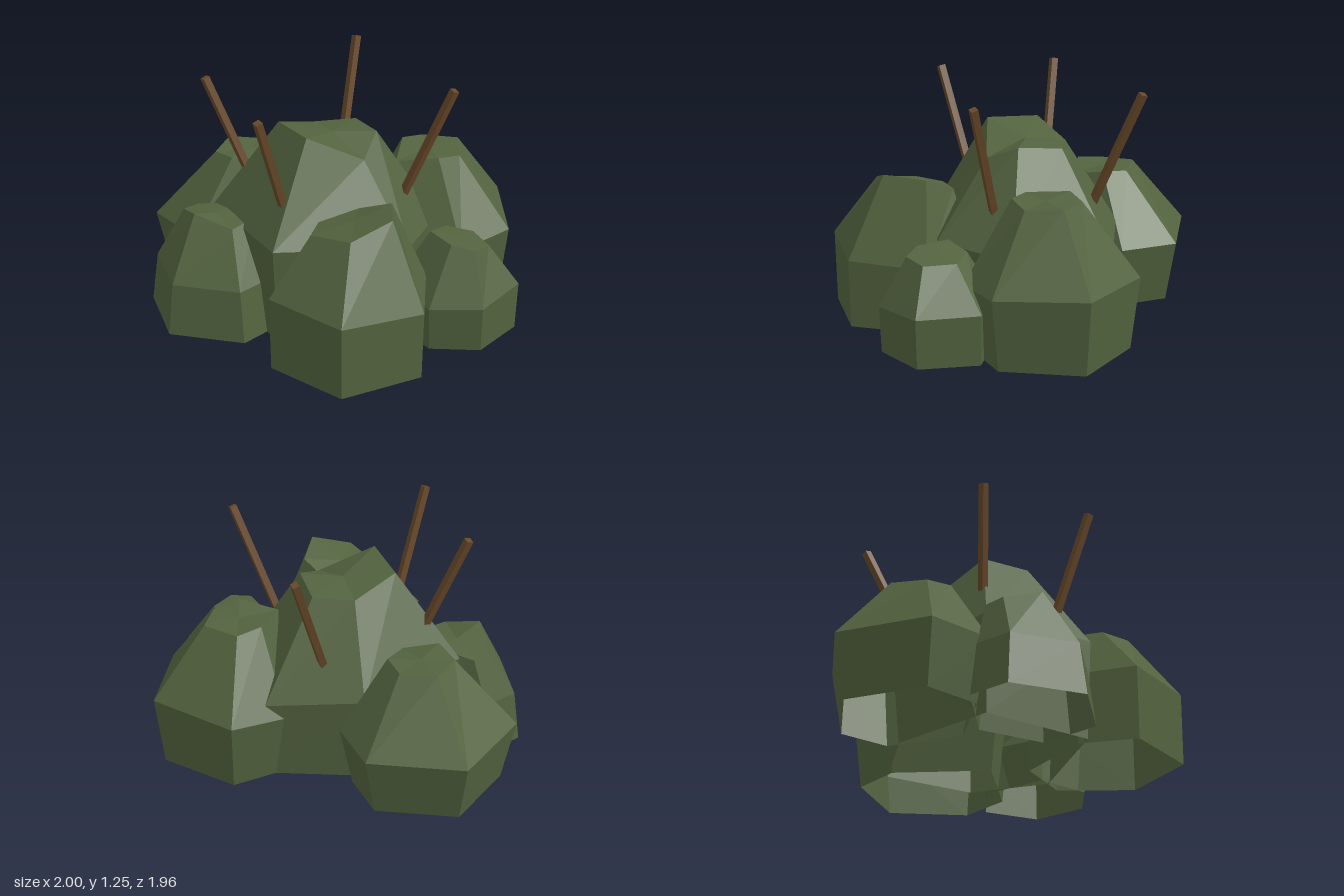
import * as THREE from 'three';

const foliage = new THREE.MeshStandardMaterial({ color: 0x53633f, flatShading: true, side: THREE.DoubleSide });
foliage.name = 'foliage green';
const bark = new THREE.MeshStandardMaterial({ color: 0x684829, flatShading: true });
bark.name = 'bark brown';

// Faceted clump: open foot, widest ring, then a smaller uneven cap.
// outline: [x, z] corners of the widest ring, counter-clockwise from above
// waist: its height and rise along z; foot: scale of the ground ring
// crown: centre [x, y, z] of the cap; shrink: its scale in x and z; heights: its corners
function makeClump(name, { outline, waist, foot, crown, shrink, heights }) {
  const n = outline.length;
  const cx = outline.reduce((s, p) => s + p[0], 0) / n;
  const cz = outline.reduce((s, p) => s + p[1], 0) / n;
  const rings = [
    outline.map(([x, z]) => [cx + (x - cx) * foot, 0, cz + (z - cz) * foot]),
    outline.map(([x, z]) => [x, waist[0] + (z - cz) * waist[1], z]),
    outline.map(([x, z], i) => [crown[0] + (x - cx) * shrink[0], heights[i], crown[2] + (z - cz) * shrink[1]]),
  ];
  const pos = [];
  for (let i = 0; i < n; i++) {
    const j = (i + 1) % n;
    for (let r = 0; r < 2; r++) {
      const a = rings[r][i], b = rings[r][j], c = rings[r + 1][j], d = rings[r + 1][i];
      pos.push(...a, ...b, ...c, ...a, ...c, ...d);
    }
    pos.push(...rings[2][i], ...rings[2][j], ...crown);
  }
  const geo = new THREE.BufferGeometry();
  geo.setAttribute('position', new THREE.Float32BufferAttribute(pos, 3));
  geo.computeVertexNormals();
  const mesh = new THREE.Mesh(geo, foliage);
  mesh.name = name;
  return mesh;
}

// Square stick between two points
function makeTwig(name, from, to) {
  const a = new THREE.Vector3(...from), b = new THREE.Vector3(...to);
  const dir = b.clone().sub(a);
  const mesh = new THREE.Mesh(new THREE.BoxGeometry(0.036, dir.length(), 0.036), bark);
  mesh.position.copy(a).add(b).multiplyScalar(0.5);
  mesh.quaternion.setFromUnitVectors(new THREE.Vector3(0, 1, 0), dir.normalize());
  mesh.name = name;
  return mesh;
}

export function createModel() {
  const model = new THREE.Group();
  model.name = 'bush';

  // Tall middle clump
  model.add(makeClump('centreClump', {
    outline: [[0.6, -0.03], [0.36, -0.42], [-0.16, -0.52], [-0.42, -0.08], [-0.34, 0.53], [0.3, 0.6]],
    waist: [0.48, 0.08], foot: 0.95, crown: [0.055, 0.95, 0.04], shrink: [0.44, 0.42],
    heights: [0.87, 0.95, 0.93, 0.92, 1.0, 1.015],
  }));

  // Lower clumps around it
  model.add(makeClump('leftFrontClump', {
    outline: [[1.0, 0.2], [0.68, -0.08], [0.36, 0.05], [0.29, 0.5], [0.475, 0.75], [0.915, 0.64]],
    waist: [0.37, 0.06], foot: 0.985, crown: [0.57, 0.725, 0.3], shrink: [0.56, 0.5],
    heights: [0.79, 0.77, 0.69, 0.665, 0.675, 0.72],
  }));
  model.add(makeClump('rightClump', {
    outline: [[-0.15, 0.2], [-0.39, -0.21], [-0.71, -0.23], [-1.0, 0.19], [-0.76, 0.63], [-0.4, 0.62]],
    waist: [0.33, 0], foot: 0.85, crown: [-0.49, 0.695, 0.2], shrink: [0.43, 0.36],
    heights: [0.665, 0.7, 0.69, 0.7, 0.69, 0.71],
  }));
  model.add(makeClump('frontClump', {
    outline: [[0.165, 0.71], [0.12, 0.42], [-0.2, 0.35], [-0.48, 0.62], [-0.445, 0.82], [-0.11, 0.94]],
    waist: [0.275, 0], foot: 1.12, crown: [-0.2, 0.55, 0.6], shrink: [0.6, 0.52],
    heights: [0.54, 0.55, 0.55, 0.52, 0.53, 0.6],
  }));
  model.add(makeClump('backClump', {
    outline: [[0.61, -0.71], [0.215, -0.985], [-0.2, -0.73], [-0.205, -0.42], [0.21, -0.02], [0.61, -0.38]],
    waist: [0.365, -0.06], foot: 0.9, crown: [0.204, 0.765, -0.49], shrink: [0.39, 0.44],
    heights: [0.755, 0.77, 0.76, 0.78, 0.75, 0.78],
  }));
  model.add(makeClump('leftBackClump', {
    outline: [[0.99, -0.195], [0.92, -0.5], [0.61, -0.595], [0.42, -0.35], [0.5, 0], [0.815, 0.01]],
    waist: [0.245, -0.05], foot: 0.97, crown: [0.71, 0.505, -0.28], shrink: [0.53, 0.4],
    heights: [0.5, 0.48, 0.48, 0.5, 0.53, 0.52],
  }));

  // Bare twigs leaning outwards
  model.add(
    makeTwig('twigBackRight', [-0.2, 0.6, -0.2], [-0.366, 1.235, -0.44]),
    makeTwig('twigFrontRight', [-0.2, 0.6, 0.34], [-0.362, 1.235, 0.54]),
    makeTwig('twigFrontLeft', [0.185, 0.62, 0.43], [0.268, 1.235, 0.652]),
    makeTwig('twigBackLeft', [0.34, 0.6, -0.18], [0.536, 1.235, -0.36]),
  );
  return model;
}
